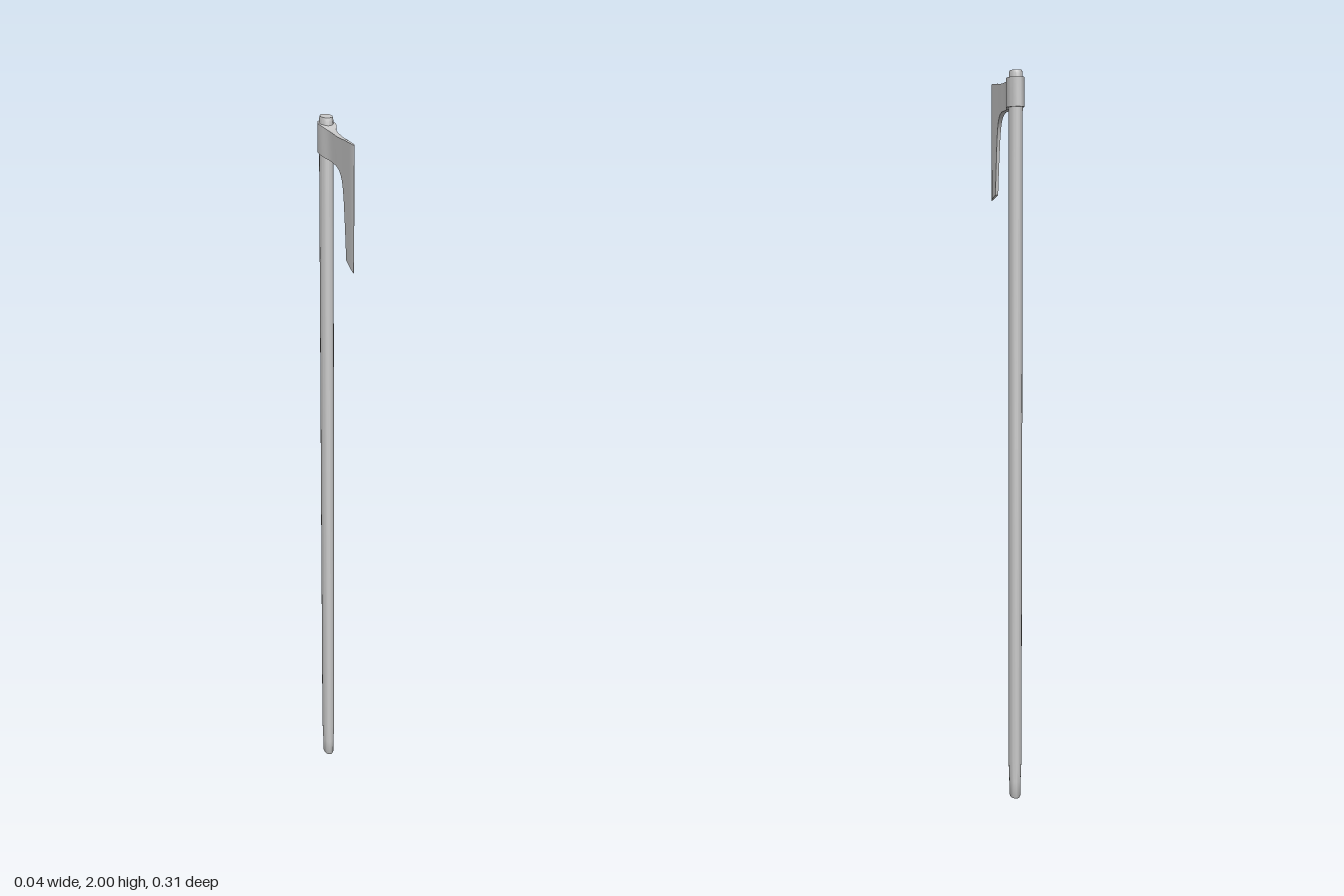
import * as THREE from 'three';
import { toCreasedNormals } from 'three/addons/utils/BufferGeometryUtils.js';

// Joins four-cornered cross-sections [z, bottom, top, halfWidth] into a closed solid
function loft(sections) {
  const pos = [], idx = [];
  for (const [z, b, t, w] of sections) {
    pos.push(w, b, z, w, t, z, -w, t, z, -w, b, z);
  }
  const n = sections.length;
  for (let i = 0; i < n - 1; i++) {
    for (let j = 0; j < 4; j++) {
      const k = (j + 1) % 4, a = i * 4 + j, b = i * 4 + k;
      idx.push(a, b, b + 4, a, b + 4, a + 4);
    }
  }
  const e = (n - 1) * 4;
  idx.push(0, 2, 1, 0, 3, 2, e, e + 1, e + 2, e, e + 2, e + 3);
  const g = new THREE.BufferGeometry();
  g.setAttribute('position', new THREE.Float32BufferAttribute(pos, 3));
  g.setIndex(idx);
  return toCreasedNormals(g, 0.6);
}

export function createModel() {
  const group = new THREE.Group();
  const mat = new THREE.MeshStandardMaterial({ color: 0xcccccc });
  const add = (name, geo) => {
    const m = new THREE.Mesh(geo, mat);
    m.name = name;
    group.add(m);
  };

  // Long oval shaft, slightly tapered at the foot
  const profile = [
    [0, 0], [0.021, 0], [0.0235, 0.004], [0.0245, 0.05], [0.028, 0.11],
    [0.0285, 1], [0.028, 1.97], [0.0275, 1.992], [0.025, 2], [0, 2],
  ].map(([r, y]) => new THREE.Vector2(r, y));
  const shaft = new THREE.LatheGeometry(profile, 32);
  shaft.scale(0.63, 1, 1).translate(0, 0, -0.114);
  add('shaft', toCreasedNormals(shaft, 0.6));

  // Rounded eye around the shaft
  const sections = [];
  const eyeZ = -0.11;
  for (let i = 0; i <= 8; i++) {
    const a = (i / 8) * Math.PI / 2;
    sections.push([eyeZ - 0.042 * Math.cos(a), 1.906, 1.982, Math.max(0.001, 0.022 * Math.sin(a))]);
  }
  // Neck, then the bearded blade narrowing to its cutting edge
  sections.push(
    [-0.095, 1.906, 1.982, 0.0215], [-0.08, 1.904, 1.98, 0.018],
    [-0.062, 1.902, 1.977, 0.0125], [-0.045, 1.902, 1.976, 0.009],
    [-0.02, 1.902, 1.976, 0.0075], [0.01, 1.901, 1.976, 0.0068],
    [0.03, 1.897, 1.977, 0.006], [0.045, 1.889, 1.978, 0.0055],
    [0.057, 1.876, 1.979, 0.005], [0.066, 1.857, 1.98, 0.0048],
    [0.073, 1.83, 1.981, 0.0046], [0.08, 1.79, 1.981, 0.0044],
    [0.088, 1.735, 1.982, 0.0041], [0.095, 1.681, 1.982, 0.0039],
    [0.12, 1.674, 1.984, 0.0033], [0.143, 1.668, 1.985, 0.0025],
    [0.153, 1.665, 1.986, 0.0004],
  );
  add('axeHead', loft(sections));

  return group;
}
